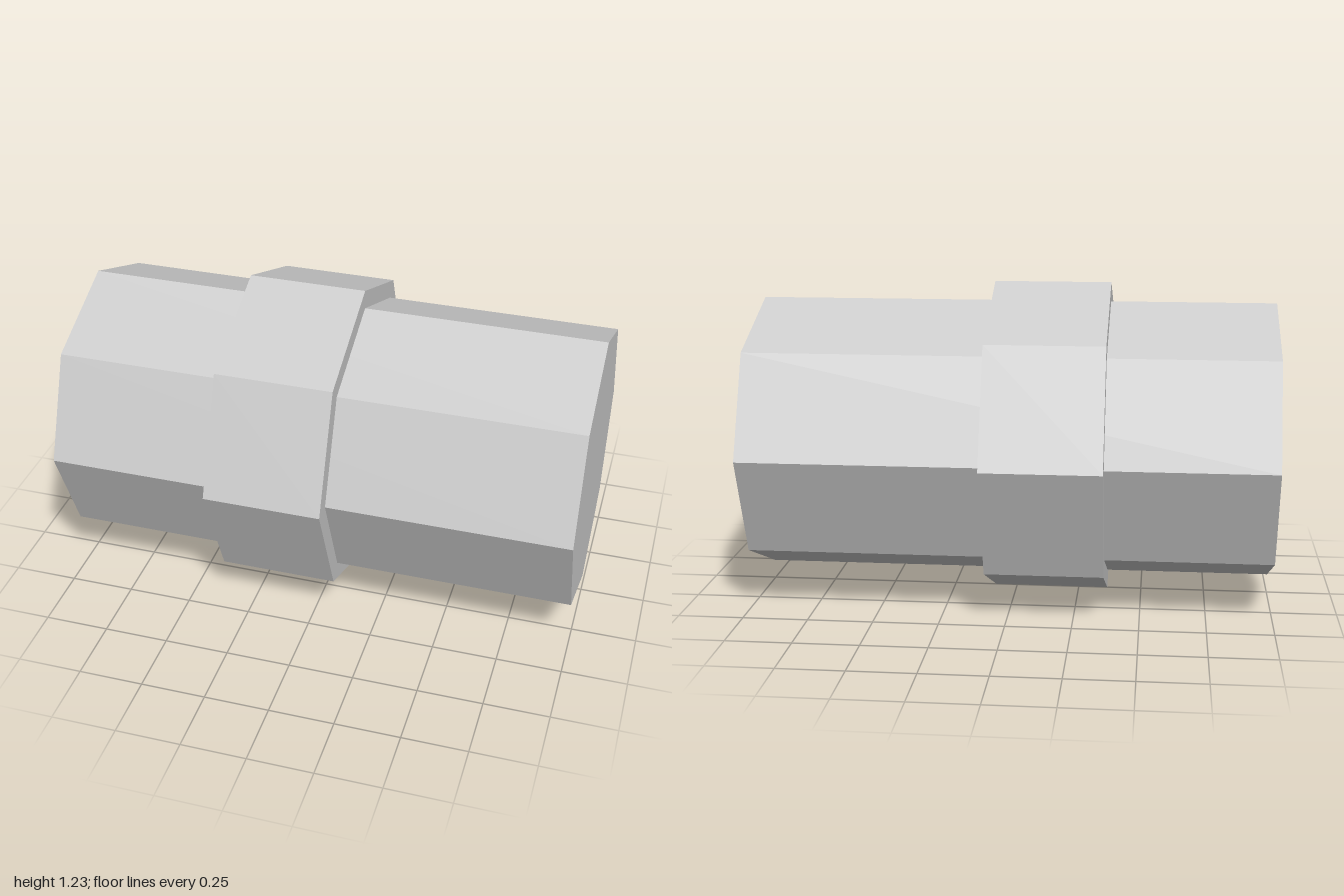
import * as THREE from 'three';

const CENTRE_Y = 0.617;

export function createModel() {
  const model = new THREE.Group();
  model.name = 'collaredPipe';
  const grey = new THREE.MeshStandardMaterial({ color: 0xcccccc, flatShading: true });
  grey.name = 'light grey';

  // Closed octagonal prism lying along x, with one corner pointing straight up
  function prism(name, radius, xMin, xMax) {
    const geometry = new THREE.CylinderGeometry(radius, radius, xMax - xMin, 8);
    geometry.rotateZ(-Math.PI / 2);
    const mesh = new THREE.Mesh(geometry, grey);
    mesh.name = name;
    mesh.position.set((xMin + xMax) / 2, CENTRE_Y, 0);
    model.add(mesh);
  }

  // Long body and the off-centre band around it
  prism('pipe', 0.543, -1, 1);
  prism('collar', CENTRE_Y, -0.365, 0.085);

  return model;
}
